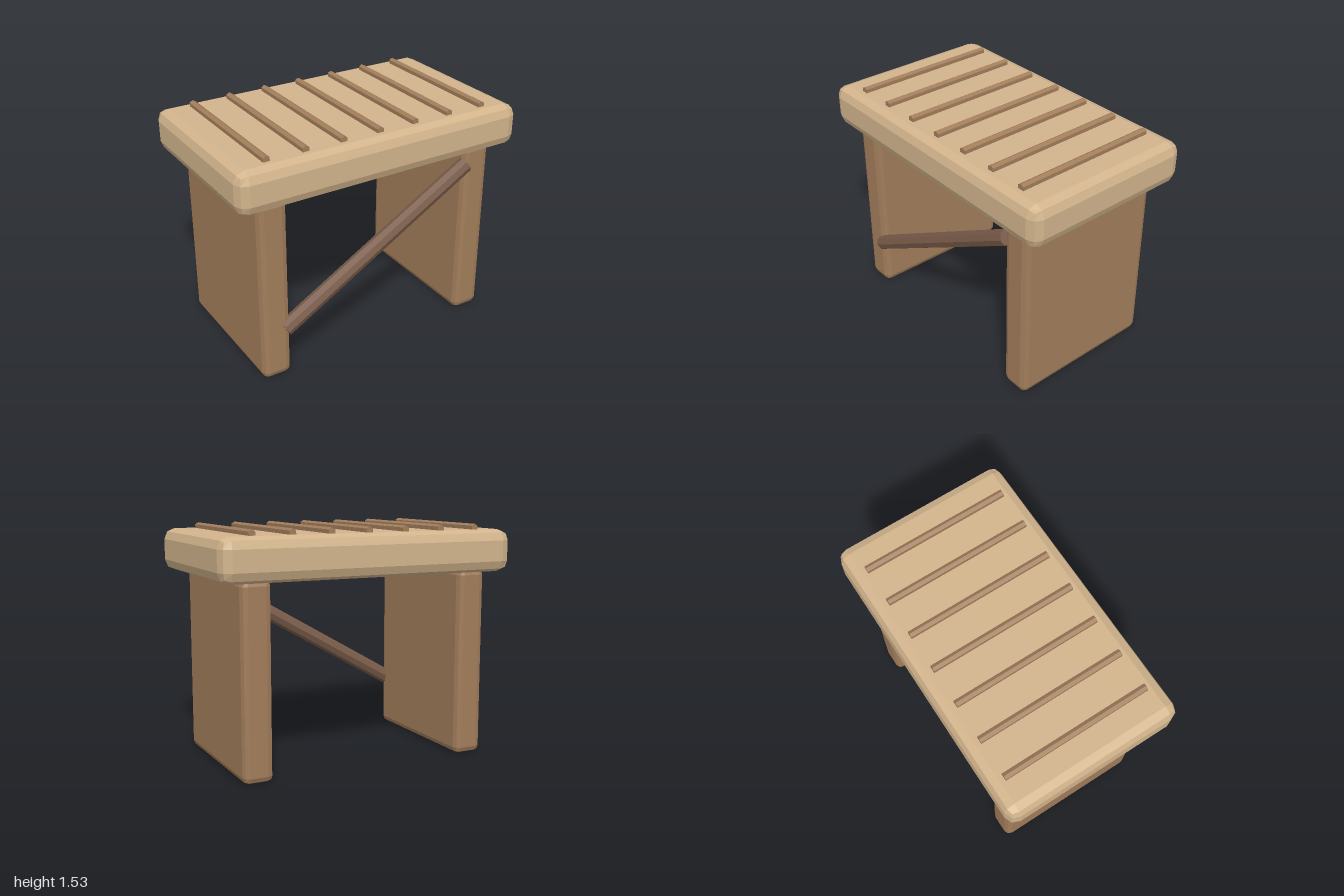
import * as THREE from 'three';
import { RoundedBoxGeometry } from 'three/addons/geometries/RoundedBoxGeometry.js';

const wood = (color) => new THREE.MeshStandardMaterial({ color, flatShading: true });

export function createModel() {
  const model = new THREE.Group();
  model.name = 'stool';
  const paleWood = wood(0xd2b48c);
  const legWood = wood(0xa27d5b);
  const darkWood = wood(0x7a5c4a);

  const add = (name, geometry, material, x, y, z) => {
    const mesh = new THREE.Mesh(geometry, material);
    mesh.name = name;
    mesh.position.set(x, y, z);
    model.add(mesh);
    return mesh;
  };

  // Thick seat slab with softened edges
  add('seat', new RoundedBoxGeometry(2, 0.275, 1.19, 1, 0.07), paleWood, 0, 1.358, 0);

  // Two slab legs, their tops let into the seat
  const legGeometry = new RoundedBoxGeometry(0.195, 1.24, 1.025, 1, 0.04);
  for (const side of [-1, 1]) {
    add(side > 0 ? 'leftLeg' : 'rightLeg', legGeometry, legWood, side * 0.752, 0.62, 0);
  }

  // Diagonal brace across the front
  const brace = add('brace', new THREE.CylinderGeometry(0.053, 0.053, 1.57, 8), darkWood, -0.01, 0.728, 0.5);
  brace.rotation.z = -Math.PI / 3;

  // Seven six-sided ribs half sunk in the seat
  const ribGeometry = new THREE.CylinderGeometry(0.025, 0.025, 0.99, 6).rotateX(Math.PI / 2);
  for (let i = -3; i <= 3; i++) {
    add('seatRib', ribGeometry, legWood, i * 0.2575, 1.507, 0);
  }

  return model;
}
